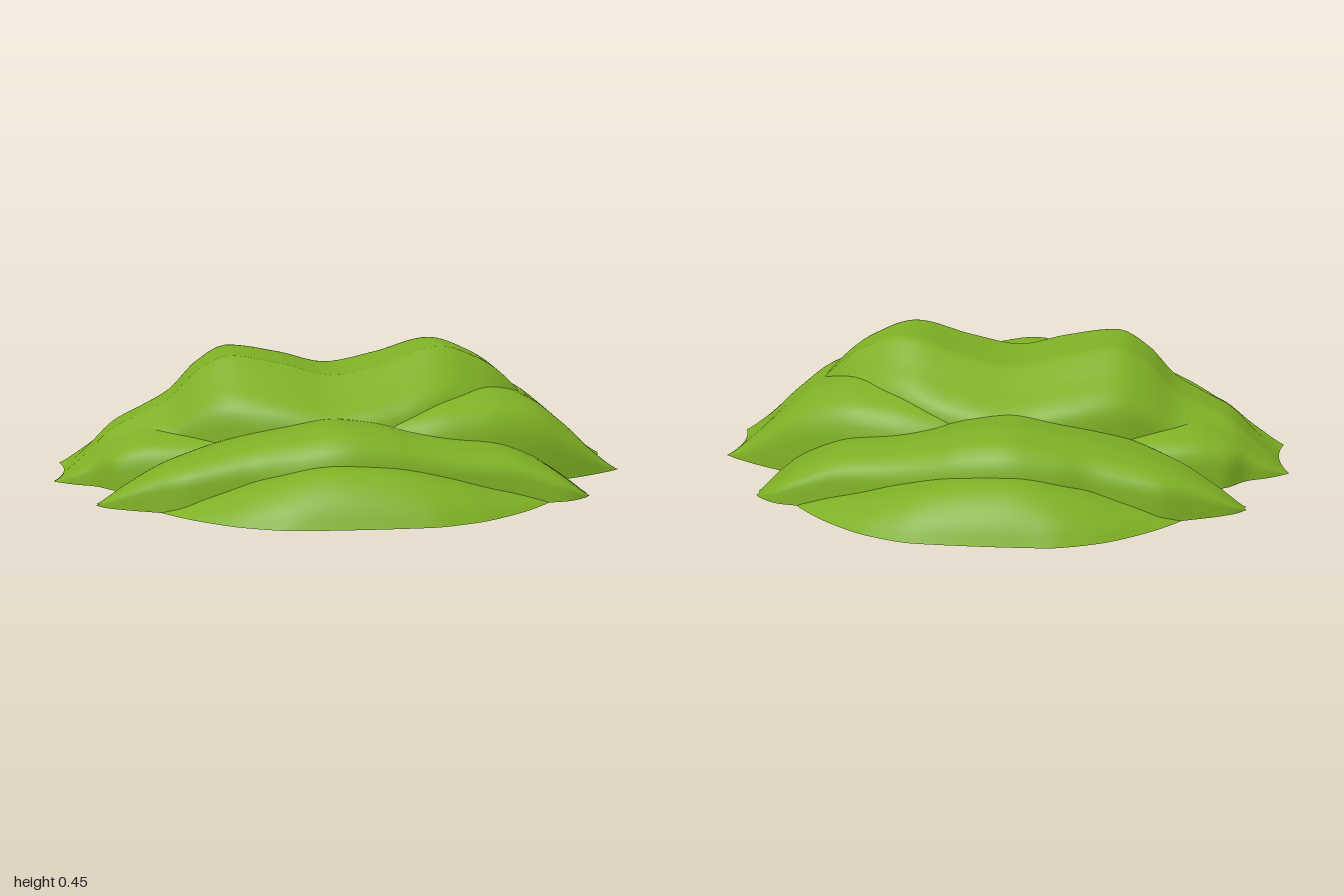
import * as THREE from 'three';

// Smooth monotone interpolation through [x, y] points
function smooth(pts) {
  const n = pts.length;
  const slope = (i) => (pts[i + 1][1] - pts[i][1]) / (pts[i + 1][0] - pts[i][0]);
  const tangent = (i) => {
    if (i === 0) return slope(0);
    if (i === n - 1) return slope(n - 2);
    const a = slope(i - 1), b = slope(i);
    return a * b <= 0 ? 0 : (2 * a * b) / (a + b);
  };
  return (x) => {
    let i = 0;
    while (i < n - 2 && x > pts[i + 1][0]) i++;
    const h = pts[i + 1][0] - pts[i][0];
    const t = THREE.MathUtils.clamp((x - pts[i][0]) / h, 0, 1), s = 1 - t;
    return pts[i][1] * s * s * (1 + 2 * t) + pts[i + 1][1] * t * t * (3 - 2 * t)
      + h * t * s * (tangent(i) * s - tangent(i + 1) * t);
  };
}

// Mound lofted along x: ridge height, near and far z edges, cross-section over v = 0..1
function mound(x0, x1, height, near, far, section) {
  const NX = 80, NZ = 56, row = NZ + 1;
  const ease = (t) => (1 - Math.cos(Math.PI * t)) / 2;
  const positions = [], index = [];
  for (const top of [true, false]) {
    const base = positions.length / 3;
    for (let i = 0; i <= NX; i++) {
      const x = THREE.MathUtils.lerp(x0, x1, ease(i / NX));
      for (let j = 0; j <= NZ; j++) {
        const v = ease(j / NZ);
        // Ends are pinched slightly inwards in the middle
        const notch = 0.025 * x ** 8 * Math.sign(x) * 4 * v * (1 - v);
        const y = top ? Math.max(0, height(x) * section(v)) : 0;
        positions.push(x - notch, y, THREE.MathUtils.lerp(near(x), far(x), v));
      }
    }
    for (let i = 0; i < NX; i++) {
      for (let j = 0; j < NZ; j++) {
        const a = base + i * row + j, b = a + 1, c = a + row, d = c + 1;
        if (top) index.push(a, b, c, b, d, c);
        else index.push(a, c, b, b, c, d);
      }
    }
  }
  const geo = new THREE.BufferGeometry();
  geo.setAttribute('position', new THREE.Float32BufferAttribute(positions, 3));
  geo.setIndex(index);
  geo.computeVertexNormals();
  return geo;
}

export function createModel() {
  const group = new THREE.Group();
  const green = new THREE.MeshStandardMaterial({ color: 0x7fb024 });
  green.name = 'grassGreen';

  const add = (name, geo) => {
    const mesh = new THREE.Mesh(geo, green);
    mesh.name = name;
    group.add(mesh);
  };

  // Mound that is the same on both sides of z = 0
  const symmetric = (name, heightPts, widthPts, sectionPts) => {
    const h = smooth(heightPts), w = smooth(widthPts), s = smooth(sectionPts);
    add(name, mound(widthPts[0][0], widthPts.at(-1)[0], h,
      (x) => -w(x), w, (v) => s(Math.abs(2 * v - 1))));
  };

  // Low wide foot of the hill
  symmetric('footMound',
    [[-0.77, 0], [-0.6, 0.02], [-0.45, 0.06], [-0.3, 0.11], [-0.07, 0.16], [0.1, 0.147],
      [0.3, 0.1], [0.45, 0.055], [0.65, 0.012], [0.77, 0]],
    [[-0.77, 0.3], [-0.75, 0.45], [-0.65, 0.62], [-0.5, 0.78], [-0.35, 0.88], [-0.2, 0.925],
      [0, 0.93], [0.2, 0.925], [0.35, 0.88], [0.5, 0.78], [0.65, 0.62], [0.75, 0.45], [0.77, 0.3]],
    [[0, 1], [0.83, 1], [0.87, 0.95], [0.92, 0.75], [0.97, 0.4], [1, 0]]);

  // Middle terraces, front and back
  const terraceHeight = smooth([[-0.84, 0], [-0.75, 0.06], [-0.6, 0.135], [-0.4, 0.19], [-0.2, 0.235],
    [-0.05, 0.26], [0.1, 0.24], [0.2, 0.21], [0.35, 0.18], [0.5, 0.16], [0.65, 0.1], [0.8, 0]]);
  const terraceOuter = smooth([[-0.84, 0.53], [-0.8, 0.57], [-0.65, 0.64], [-0.53, 0.68], [-0.35, 0.68],
    [-0.2, 0.725], [-0.05, 0.75], [0.1, 0.73], [0.3, 0.68], [0.5, 0.645], [0.7, 0.62], [0.78, 0.57], [0.8, 0.54]]);
  const terraceInner = smooth([[-0.84, 0.5], [-0.72, 0.4], [-0.6, 0.3], [-0.4, 0.18], [0, 0.15],
    [0.6, 0.15], [0.76, 0.3], [0.8, 0.5]]);
  const terraceSection = smooth([[0, 0], [0.1, 0.55], [0.25, 0.88], [0.45, 0.96], [0.67, 1],
    [0.86, 0.95], [0.95, 0.8], [0.985, 0.6], [1, 0]]);
  add('frontTerrace', mound(-0.84, 0.8, terraceHeight, terraceInner, terraceOuter, terraceSection));
  add('backTerrace', mound(-0.84, 0.8, (x) => terraceHeight(x) * 1.03,
    (x) => -terraceOuter(x), (x) => -terraceInner(x), (v) => terraceSection(1 - v)));

  // Broad central shoulder
  symmetric('shoulderMound',
    [[-1, 0], [-0.9, 0.07], [-0.8, 0.14], [-0.65, 0.185], [-0.45, 0.187], [0, 0.22], [0.2, 0.27],
      [0.35, 0.3], [0.5, 0.31], [0.65, 0.275], [0.8, 0.17], [0.9, 0.08], [1, 0]],
    [[-1, 0.16], [-0.93, 0.21], [-0.85, 0.25], [-0.77, 0.33], [-0.6, 0.37], [-0.4, 0.38], [0, 0.4],
      [0.3, 0.43], [0.45, 0.41], [0.6, 0.37], [0.8, 0.28], [0.95, 0.19], [1, 0.15]],
    [[0, 0.98], [0.45, 1], [0.65, 0.96], [0.85, 0.85], [0.95, 0.68], [0.985, 0.45], [1, 0]]);

  // Twin-peaked summit ridge
  symmetric('summitRidge',
    [[-1, 0], [-0.9, 0.08], [-0.8, 0.17], [-0.7, 0.22], [-0.6, 0.275], [-0.5, 0.375], [-0.39, 0.43],
      [-0.2, 0.4], [-0.03, 0.36], [0.15, 0.395], [0.35, 0.45], [0.5, 0.4], [0.65, 0.28], [0.67, 0.25]],
    [[-1, 0.15], [-0.8, 0.2], [-0.6, 0.25], [-0.4, 0.34], [-0.2, 0.385], [-0.02, 0.4], [0.2, 0.37],
      [0.4, 0.29], [0.55, 0.2], [0.64, 0.1], [0.67, 0.02]],
    [[0, 1], [0.37, 1], [0.45, 0.96], [0.65, 0.84], [0.88, 0.7], [0.96, 0.6], [0.99, 0.45], [1, 0]]);

  return group;
}
